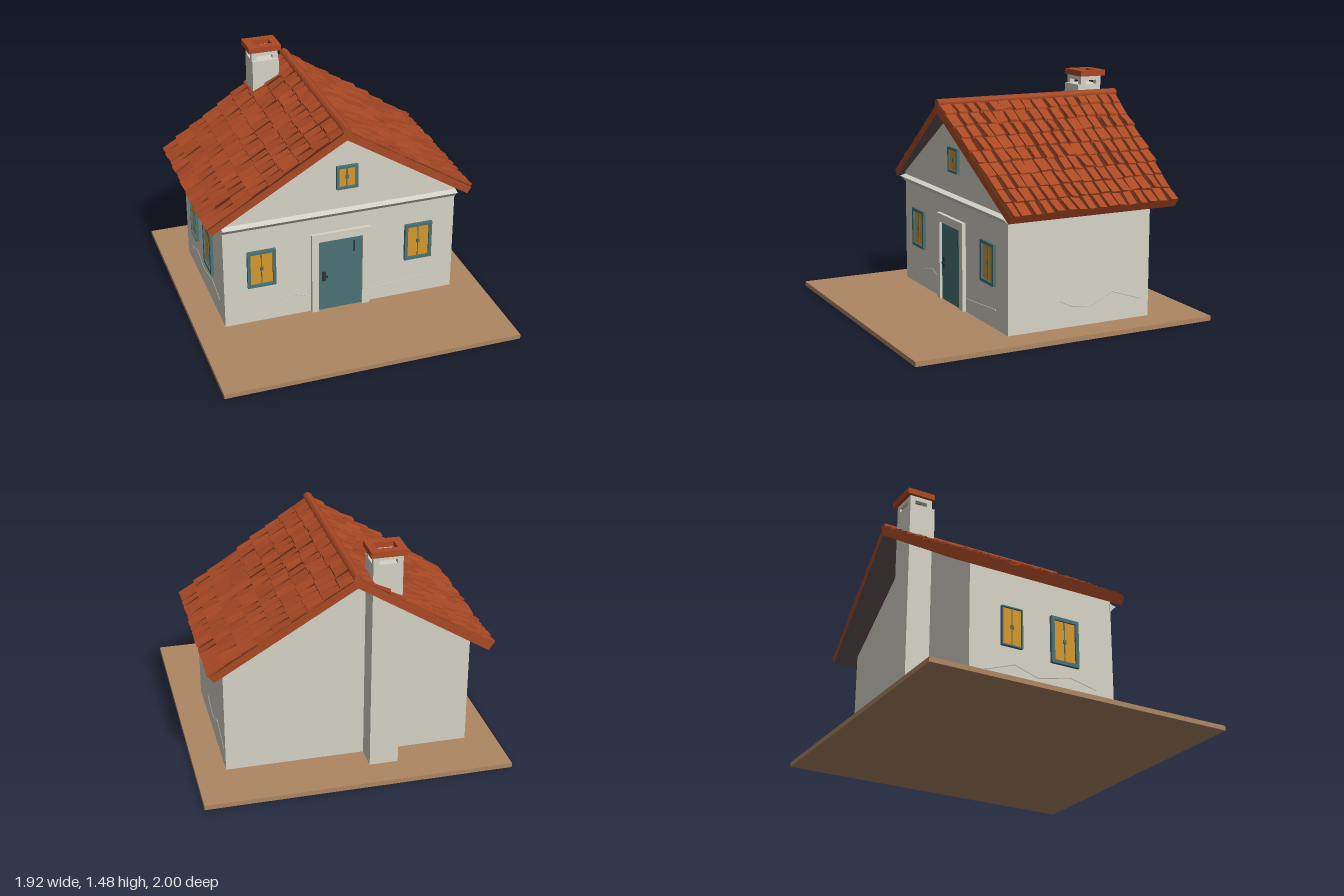
import * as THREE from 'three';
import { mergeGeometries } from 'three/addons/utils/BufferGeometryUtils.js';

const paint = (name, color) => {
  const m = new THREE.MeshStandardMaterial({ color });
  m.name = name;
  return m;
};

export function createModel() {
  const model = new THREE.Group();
  model.name = 'cottage';
  const plaster = paint('plaster', 0xd6d3c7);
  const earth = paint('earth', 0xae8763);
  const tileRed = paint('terracotta', 0xab4a25);
  const tileGap = paint('tile gap', 0x5c2814);
  const eaveDark = paint('eave underside', 0x655a56);
  const teal = paint('teal wood', 0x4a7275);
  const amber = paint('amber glass', 0xd6982b);
  const iron = paint('iron', 0x2a3536);

  let seed = 7;
  const rand = () => (seed = (seed * 16807) % 2147483647) / 2147483647;
  const jitter = (a) => (rand() - 0.5) * 2 * a;

  const add = (parent, name, geometry, material) => {
    const mesh = new THREE.Mesh(geometry, material);
    mesh.name = name;
    parent.add(mesh);
    return mesh;
  };
  // Box given by its low and high corners
  const box = (parent, name, material, x0, x1, y0, y1, z0, z1) => {
    const g = new THREE.BoxGeometry(x1 - x0, y1 - y0, z1 - z0);
    g.translate((x0 + x1) / 2, (y0 + y1) / 2, (z0 + z1) / 2);
    return add(parent, name, g, material);
  };

  box(model, 'ground', earth, -0.96, 0.96, 0, 0.03, -1, 1);

  // House body with gables
  const outline = new THREE.Shape();
  outline.moveTo(-0.77, 0.02);
  outline.lineTo(0.77, 0.02);
  outline.lineTo(0.77, 0.785);
  outline.lineTo(0, 1.29);
  outline.lineTo(-0.77, 0.785);
  outline.closePath();
  const body = new THREE.ExtrudeGeometry(outline, { depth: 0.98, bevelEnabled: false });
  add(model, 'walls', body.translate(0, 0, -0.655), plaster);

  // Sloping ledge below the front gable
  const ledge = new THREE.Shape();
  ledge.moveTo(0, 0.7);
  ledge.lineTo(0.03, 0.733);
  ledge.lineTo(0.045, 0.745);
  ledge.lineTo(0, 0.757);
  ledge.closePath();
  const ledgeGeo = new THREE.ExtrudeGeometry(ledge, { depth: 1.55, bevelEnabled: false });
  ledgeGeo.rotateY(-Math.PI / 2).translate(0.775, 0, 0.32);
  add(model, 'gableLedge', ledgeGeo, plaster);

  // Folds in the plaster: slim wedges along a line on a wall plane
  const folds = (points, angle, distance) => {
    const g = new THREE.Group();
    g.name = 'plasterFold';
    for (let i = 1; i < points.length; i++) {
      const [x0, y0] = points[i - 1], [x1, y1] = points[i];
      const s = add(g, 'fold', new THREE.CylinderGeometry(0.008, 0.008, Math.hypot(x1 - x0, y1 - y0), 4), plaster);
      s.position.set((x0 + x1) / 2, (y0 + y1) / 2, distance);
      s.rotation.z = Math.atan2(x0 - x1, y1 - y0);
    }
    g.rotation.y = angle;
    model.add(g);
  };
  folds([[-0.46, 0.155], [-0.32, 0.185], [-0.22, 0.15]], 0, 0.322);
  folds([[0.2, 0.115], [0.4, 0.13], [0.61, 0.15]], 0, 0.322);
  folds([[0.03, 0.2], [0.1, 0.165], [0.23, 0.145], [0.39, 0.22], [0.6, 0.15]], Math.PI / 2, 0.767);
  folds([[-0.55, 0.13], [-0.36, 0.2], [-0.2, 0.15], [0.02, 0.2], [0.2, 0.16]], -Math.PI / 2, 0.767);

  // Door in its plaster surround
  const door = new THREE.Group();
  door.name = 'door';
  model.add(door);
  for (const [x0, x1] of [[-0.2, -0.155], [0.14, 0.19]])
    box(door, 'doorJamb', plaster, x0, x1, 0.03, 0.6, 0.31, 0.35);
  box(door, 'doorLintel', plaster, -0.155, 0.14, 0.545, 0.6, 0.31, 0.35);
  box(door, 'doorLeaf', teal, -0.155, 0.14, 0.03, 0.545, 0.31, 0.333);
  box(door, 'doorPlate', iron, -0.13, -0.105, 0.245, 0.315, 0.333, 0.338);
  box(door, 'doorHandle', iron, -0.125, -0.095, 0.275, 0.287, 0.338, 0.352);
  box(door, 'doorHinge', iron, 0.083, 0.09, 0.43, 0.51, 0.333, 0.337);

  // Framed window centred at (x, y) on a wall facing the given angle
  const addWindow = (name, x, y, w, h, f, angle, distance, panes) => {
    const g = new THREE.Group();
    g.name = name;
    const a = w / 2, b = h / 2;
    box(g, 'glass', amber, -a + f, a - f, -b + f, b - f, 0, 0.008);
    for (const s of [-1, 1]) {
      box(g, 'frameSide', teal, s * (a - f / 2) - f / 2, s * (a - f / 2) + f / 2, -b, b, -0.01, 0.02);
      box(g, 'frameRail', teal, -a + f, a - f, s * (b - f / 2) - f / 2, s * (b - f / 2) + f / 2, -0.01, 0.02);
    }
    if (panes) {
      box(g, 'mullion', teal, -0.003, 0.003, -b + f, b - f, 0, 0.011);
      box(g, 'latch', teal, -0.01, 0.01, -0.012, 0.012, 0, 0.015);
    }
    g.position.set(x, y, distance);
    const holder = new THREE.Group();
    holder.name = name + 'Wall';
    holder.rotation.y = angle;
    holder.add(g);
    model.add(holder);
  };
  addWindow('frontWindowRight', -0.527, 0.423, 0.185, 0.258, 0.02, 0, 0.325, true);
  addWindow('frontWindowLeft', 0.523, 0.425, 0.185, 0.26, 0.02, 0, 0.325, true);
  addWindow('gableWindow', 0.035, 0.975, 0.14, 0.16, 0.016, 0, 0.325, true);
  addWindow('sideWindowFront', -0.02, 0.415, 0.19, 0.3, 0.022, -Math.PI / 2, 0.77, true);
  addWindow('sideWindowBack', -0.38, 0.425, 0.14, 0.25, 0.008, -Math.PI / 2, 0.77, true);

  // Roof surface: u runs from ridge to eave, w along the ridge, d is the height off the slab
  const roofPoint = (side, u, w, d) => [
    side * u * (0.87 + 0.55 * d),
    1.335 - 0.565 * u + d * (1.2 - 0.365 * u),
    -0.215 + w * (0.645 - 0.07 * u),
  ];
  // Bends a box whose x, y, z are signed u, d and w onto the roof
  const bend = (geometry, side) => {
    const p = geometry.attributes.position;
    for (let i = 0; i < p.count; i++)
      p.setXYZ(i, ...roofPoint(side, Math.abs(p.getX(i)), p.getZ(i), p.getY(i)));
    geometry.computeVertexNormals();
    return geometry;
  };

  const rows = 9, columns = 16;
  for (const side of [-1, 1]) {
    const slab = new THREE.BoxGeometry(1, 0.05, 2).translate(side / 2, -0.025, 0);
    add(model, 'roofSlab', bend(slab, side), [tileRed, tileRed, tileGap, eaveDark, tileRed, tileRed]);

    // Overlapping uneven tiles, one edge lifted
    const tiles = [];
    for (let r = 0; r < rows; r++) {
      for (let c = 0; c < columns; c++) {
        const pitch = 2 / columns;
        const u0 = r / rows, u1 = Math.min(1.005, (r + 1.04) / rows + jitter(0.006));
        const w0 = -1 + c * pitch + rand() * 0.016;
        const w1 = -1 + (c + 1) * pitch - 0.008 - rand() * 0.034;
        const skew = jitter(0.012), lift = 0.013 + rand() * 0.009, tilt = jitter(0.006);
        const g = new THREE.BoxGeometry(1, 1, 1);
        const p = g.attributes.position;
        for (let i = 0; i < p.count; i++) {
          const low = p.getX(i) * side > 0, up = p.getY(i) > 0, far = p.getZ(i) > 0;
          const w = (far ? w1 : w0) + (low ? skew : 0);
          const d = up ? (low ? lift : 0.006) + (far ? tilt : -tilt) * (low ? 1 : 0.5) : -0.004;
          p.setXYZ(i, side * (low ? u1 : u0), d, THREE.MathUtils.clamp(w, -1, 1));
        }
        tiles.push(bend(g, side));
      }
    }
    add(model, side > 0 ? 'roofTilesLeft' : 'roofTilesRight', mergeGeometries(tiles), tileRed);
  }

  // Ridge cap
  const ridge = new THREE.CylinderGeometry(0.03, 0.03, 1.29, 6);
  ridge.rotateX(Math.PI / 2).translate(0, 1.333, -0.215);
  add(model, 'ridgeCap', ridge, tileRed);

  // Chimney with smoke slots and an open cap
  const chimney = new THREE.Group();
  chimney.name = 'chimney';
  model.add(chimney);
  box(chimney, 'chimneyStack', plaster, -0.28, -0.1, 0.02, 1.385, -0.81, -0.64);
  box(chimney, 'chimneyStackTop', plaster, -0.28, -0.1, 1.38, 1.385, -0.81, -0.66);
  for (const [x0, x1] of [[-0.28, -0.245], [-0.135, -0.1]])
    for (const [z0, z1] of [[-0.81, -0.775], [-0.695, -0.66]])
      box(chimney, 'chimneyPost', plaster, x0, x1, 1.385, 1.412, z0, z1);
  const ring = (name, material, x0, x1, z0, z1, y0, y1) => {
    const s = new THREE.Shape([[x0, -z1], [x1, -z1], [x1, -z0], [x0, -z0]].map((q) => new THREE.Vector2(...q)));
    s.holes.push(new THREE.Path([[-0.25, 0.7], [-0.25, 0.785], [-0.13, 0.785], [-0.13, 0.7]].map((q) => new THREE.Vector2(...q))));
    const g = new THREE.ExtrudeGeometry(s, { depth: y1 - y0, bevelEnabled: false });
    add(chimney, name, g.rotateX(-Math.PI / 2).translate(0, y0, 0), material);
  };
  ring('chimneyCollar', plaster, -0.28, -0.1, -0.81, -0.66, 1.412, 1.442);
  ring('chimneyCap', tileRed, -0.3, -0.08, -0.835, -0.65, 1.44, 1.477);

  return model;
}
